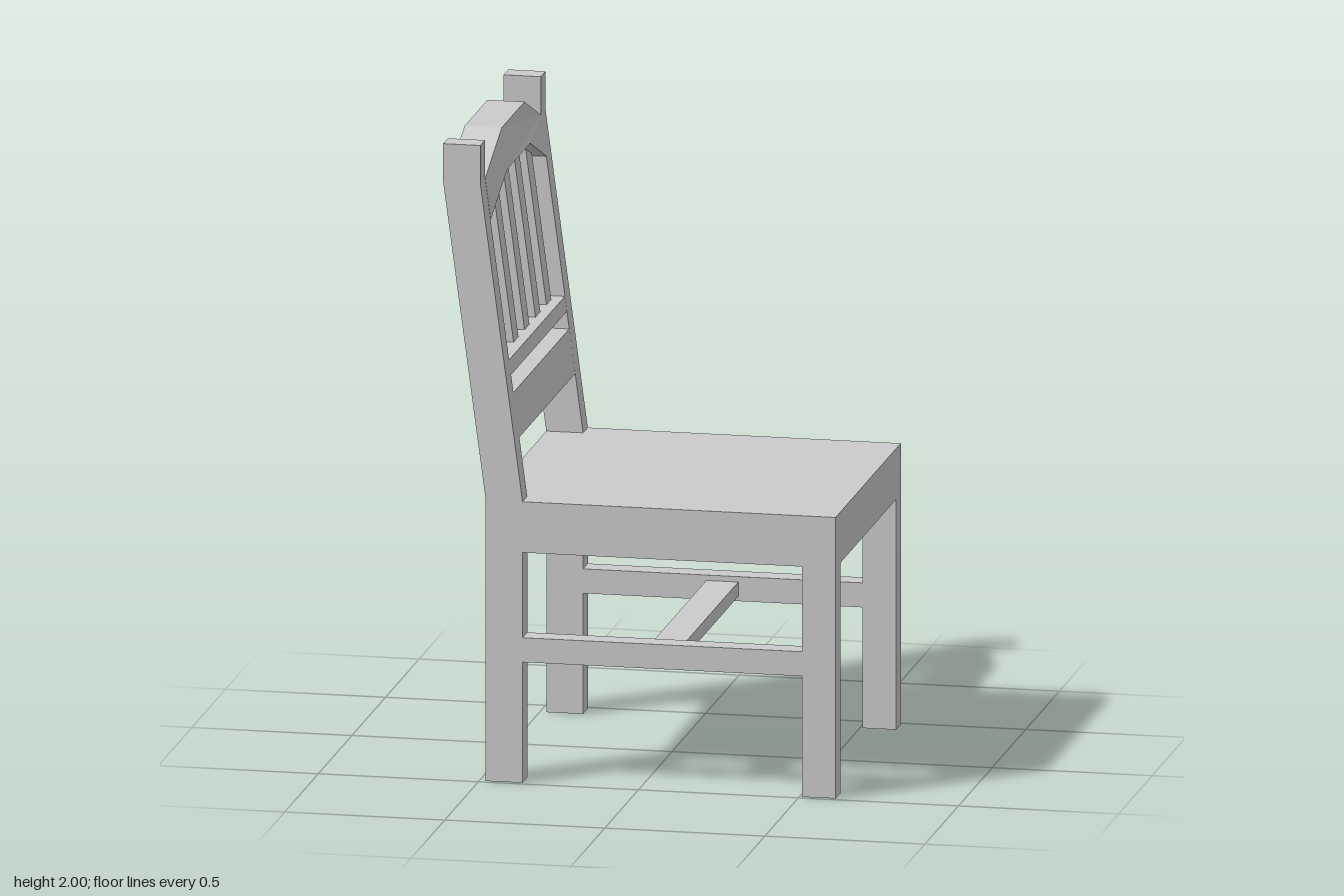
import * as THREE from 'three';

const material = new THREE.MeshStandardMaterial({ color: 0xcccccc, flatShading: true });

// Backward lean of the chair back above the seat (the chair faces +x)
const SEAT_TOP = 0.885;
const lean = (y) => -0.133 * (y - SEAT_TOP);

export function createModel() {
  const group = new THREE.Group();

  const add = (name, geometry) => {
    const mesh = new THREE.Mesh(geometry, material);
    mesh.name = name;
    group.add(mesh);
    return mesh;
  };

  // Box given by its limits on each axis
  const block = ([x0, x1], [y0, y1], [z0, z1]) =>
    new THREE.BoxGeometry(x1 - x0, y1 - y0, z1 - z0)
      .translate((x0 + x1) / 2, (y0 + y1) / 2, (z0 + z1) / 2);

  // Shift vertices along x by a rule of their position
  const shearX = (geometry, rule) => {
    const p = geometry.attributes.position;
    for (let i = 0; i < p.count; i++) p.setX(i, p.getX(i) + rule(p.getY(i), p.getZ(i)));
    geometry.computeVertexNormals();
    return geometry;
  };

  const toShape = (points) => new THREE.Shape(points.map(([x, y]) => new THREE.Vector2(x, y)));

  // Solid seat
  add('seat', block([-0.48, 0.613], [0.725, SEAT_TOP], [-0.485, 0.485]));

  // Back leg and leaning post in one profile
  const postProfile = toShape([
    [-0.48, 0], [-0.365, 0], [-0.365, SEAT_TOP], [-0.497, 1.88],
    [-0.497, 2], [-0.613, 2], [-0.613, 1.88], [-0.48, SEAT_TOP],
  ]);

  for (const [side, sign] of [['left', 1], ['right', -1]]) {
    const zRange = sign > 0 ? [0.415, 0.485] : [-0.485, -0.415];
    add(`${side}BackPost`, new THREE.ExtrudeGeometry(postProfile, { depth: 0.07, bevelEnabled: false })
      .translate(0, 0, zRange[0]));
    add(`${side}FrontLeg`, block([0.508, 0.613], [0, 0.725], zRange));
    add(`${side}Stretcher`, block([-0.365, 0.508], [0.38, 0.457], zRange));
  }

  // Stretcher across the middle
  add('crossStretcher', block([0.02, 0.12], [0.395, 0.44], [-0.415, 0.415]));

  // Leaning rails between the posts
  for (const [name, yRange] of [['lowerBackRail', [1.07, 1.21]], ['slatRail', [1.265, 1.312]]]) {
    add(name, shearX(block([-0.48, -0.365], yRange, [-0.415, 0.415]), lean));
  }

  // Five leaning slats
  for (let i = 0; i < 5; i++) {
    const z = -0.334 + i * 0.163;
    add(`slat${i + 1}`, shearX(block([-0.453, -0.398], [1.3, 1.86], [z - 0.036, z + 0.036]), lean));
  }

  // Arched crest rail, drawn from the front and extruded through its thickness
  const arch = [[-0.415, 1.75], [-0.17, 1.85], [0.17, 1.85], [0.415, 1.75]];
  const crestShape = toShape([...arch, ...arch.map(([z, y]) => [z, y + 0.13]).reverse()]);
  const crest = new THREE.ExtrudeGeometry(crestShape, { depth: 0.116, bevelEnabled: false })
    .rotateY(Math.PI / 2)
    .translate(-0.595, 0, 0);
  const archBase = (z) => (Math.abs(z) < 0.3 ? 1.85 : 1.75);
  add('crestRail', shearX(crest, (y, z) => -0.133 * (y - archBase(z))));

  return group;
}
